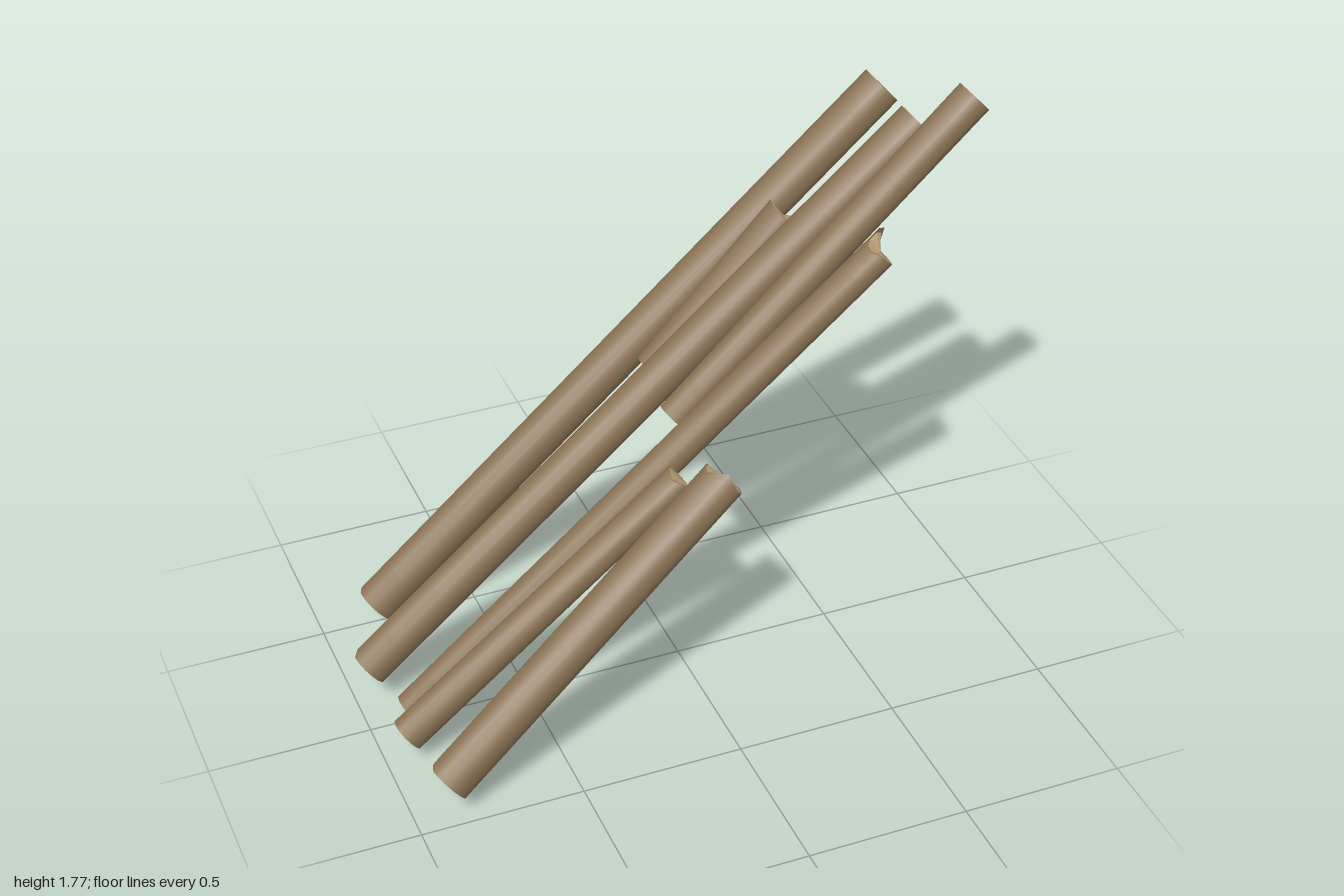
import * as THREE from 'three';

const SIDES = 14;
const bark = new THREE.MeshStandardMaterial({ color: 0x8b7355 });
bark.name = 'bark';
const wood = new THREE.MeshStandardMaterial({ color: 0xc4a57a });
wood.name = 'cut wood';

// Length change of a broken end: the sum of narrow splinters and notches [degrees, amount]
function jag(list, angle) {
  let sum = 0;
  for (const [deg, amount, width = 45] of list) {
    const diff = Math.abs(((angle * 180 / Math.PI - deg + 540) % 360) - 180);
    sum += amount * Math.max(0, 1 - diff / width);
  }
  return sum;
}

function makeGeometry(positions, index) {
  let g = new THREE.BufferGeometry();
  g.setAttribute('position', new THREE.Float32BufferAttribute(positions, 3));
  g.setIndex(index);
  return g;
}

// One log from a low end to a high end; angle 0 is its upper side, 90 its front side
function makeLog({ name, from, to, r0, r1, low = [], high = [], core = 0.78 }) {
  const a = new THREE.Vector3(...from), b = new THREE.Vector3(...to);
  const length = a.distanceTo(b);
  const d = b.clone().sub(a).normalize();
  const u = new THREE.Vector3(0, 0, 1).cross(d).normalize();
  const v = d.clone().cross(u);
  const point = (t, r, angle) => a.clone().addScaledVector(d, t)
    .addScaledVector(u, r * Math.cos(angle)).addScaledVector(v, r * Math.sin(angle));
  const angleAt = i => (i / SIDES) * Math.PI * 2;

  const group = new THREE.Group();
  group.name = name;

  // Round bark, with rings close to both ends
  const rows = [0, 0.13, length - 0.1, length];
  const pos = [], idx = [];
  rows.forEach((row, k) => {
    for (let i = 0; i < SIDES; i++) {
      const an = angleAt(i);
      const t = row + (k === 0 ? -jag(low, an) : k === 3 ? jag(high, an) : 0);
      pos.push(...point(t, r0 + (r1 - r0) * row / length, an).toArray());
      if (k === 3) continue;
      const p = k * SIDES + i, q = k * SIDES + (i + 1) % SIDES;
      idx.push(p, q, q + SIDES, p, q + SIDES, p + SIDES);
    }
  });
  const side = makeGeometry(pos, idx);
  side.computeVertexNormals();
  const sideMesh = new THREE.Mesh(side, bark);
  sideMesh.name = 'barkSide';
  group.add(sideMesh);

  // Ends: a rim of bark around a paler core
  for (const top of [false, true]) {
    const list = top ? high : low, sign = top ? 1 : -1;
    const r = top ? r1 : r0, base = top ? length : 0;
    const ep = [...point(base, 0, 0).toArray()], rim = [], heart = [];
    for (let i = 0; i < SIDES; i++) {
      const an = angleAt(i), j = jag(list, an) * sign;
      ep.push(...point(base + j, r, an).toArray());
      ep.push(...point(base + j * 0.7, r * core, an).toArray());
      const o = 1 + i * 2, n = 1 + ((i + 1) % SIDES) * 2;
      const tris = [[o, n, n + 1], [o, n + 1, o + 1], [0, o + 1, n + 1]];
      tris.forEach((t, k) => (k < 2 ? rim : heart).push(...(top ? t : [t[0], t[2], t[1]])));
    }
    for (const [part, index, mat] of [['Rim', rim, bark], ['Core', heart, wood]]) {
      const g = makeGeometry(ep, index).toNonIndexed();
      g.computeVertexNormals();
      const mesh = new THREE.Mesh(g, mat);
      mesh.name = (top ? 'high' : 'low') + part;
      group.add(mesh);
    }
  }
  return group;
}

export function createModel() {
  const logs = [
    { name: 'backLog', from: [-0.845, 0.14, -0.422], to: [0.833, 1.623, -0.422], r0: 0.068, r1: 0.068,
      low: [[300, -0.03]] },
    { name: 'longLog', from: [-0.955, 0.135, -0.138], to: [0.833, 1.622, -0.183], r0: 0.064, r1: 0.064,
      low: [[310, -0.04]] },
    { name: 'highLog', from: [0.0, 0.87, -0.035], to: [0.957, 1.735, -0.066], r0: 0.053, r1: 0.059 },
    { name: 'slantedLog', from: [-0.868, 0.05, 0.0], to: [0.598, 1.372, 0.083], r0: 0.056, r1: 0.052,
      low: [[250, -0.03]], high: [[292, 0.07, 50], [20, -0.02]], core: 0.93 },
    { name: 'shortBackLog', from: [0.035, 0.88, -0.285], to: [0.457, 1.327, -0.286], r0: 0.06, r1: 0.062,
      low: [[190, -0.11, 55]], high: [[180, 0.02, 80], [250, -0.025], [340, 0.015]], core: 0.93 },
    { name: 'shortMiddleLog', from: [-0.93, 0.098, 0.163], to: [-0.055, 0.787, 0.153], r0: 0.056, r1: 0.05,
      low: [[180, -0.02]], high: [[120, 0.015], [30, -0.02]], core: 0.93 },
    { name: 'frontLog', from: [-0.888, 0.107, 0.42], to: [0.035, 0.838, 0.268], r0: 0.069, r1: 0.068,
      low: [[300, -0.04]], high: [[50, 0.02], [0, -0.025], [180, 0.01]], core: 0.93 },
  ];
  const model = new THREE.Group();
  model.name = 'logPile';
  for (const log of logs) model.add(makeLog(log));
  return model;
}
